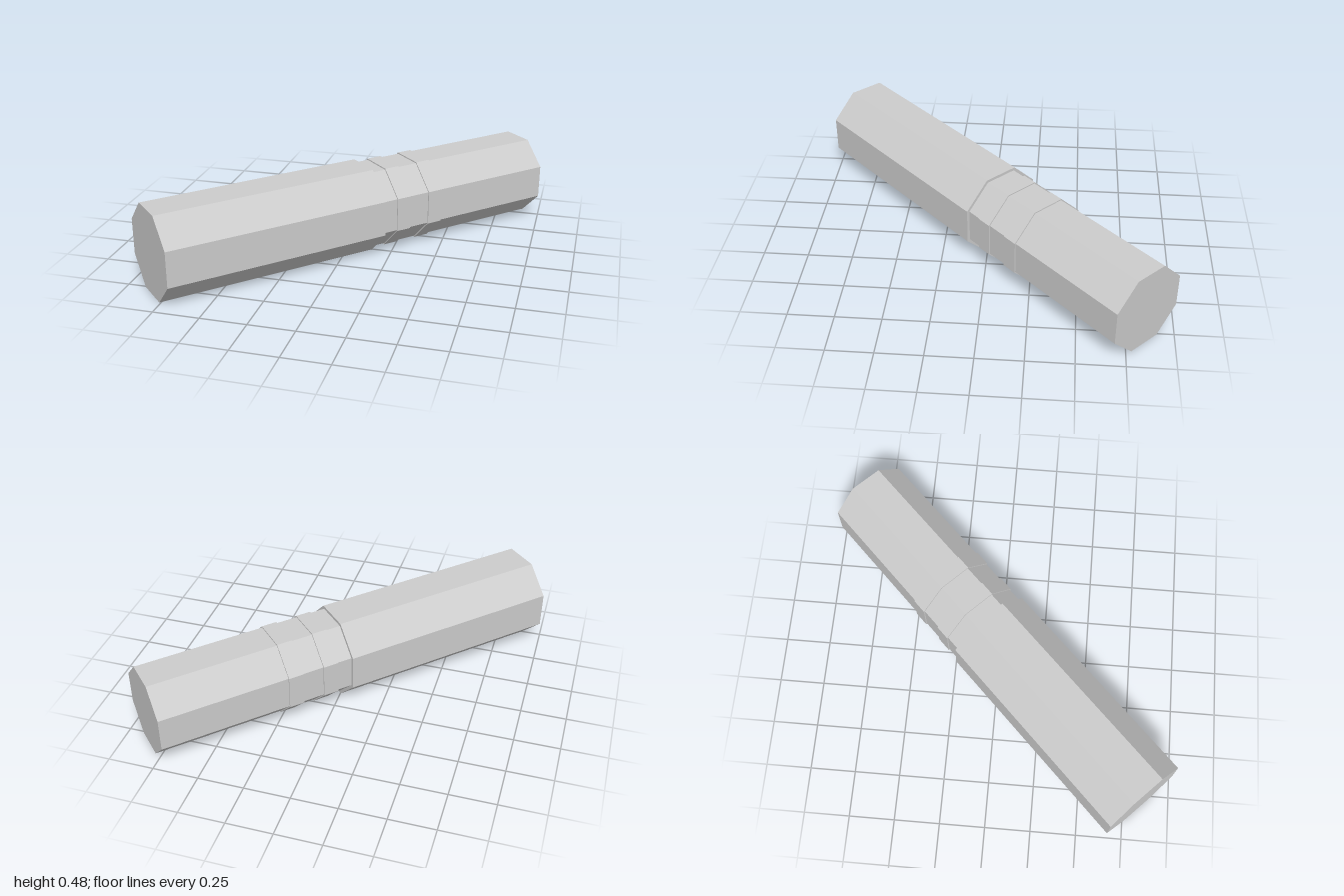
import * as THREE from 'three';

const CENTER_Y = 0.241;

export function createModel() {
  const grey = new THREE.MeshStandardMaterial({ color: 0xcccccc, flatShading: true });
  grey.name = 'light grey';

  const model = new THREE.Group();
  model.name = 'handle';

  // Octagonal prism along z from start to end, with flats on top and sides
  function prism(name, halfWidth, start, end) {
    const radius = halfWidth / Math.cos(Math.PI / 8);
    const geometry = new THREE.CylinderGeometry(radius, radius, end - start, 8);
    geometry.rotateY(Math.PI / 8);
    geometry.rotateX(Math.PI / 2);
    geometry.translate(0, 0, (start + end) / 2);
    const mesh = new THREE.Mesh(geometry, grey);
    mesh.name = name;
    model.add(mesh);
  }

  // Wide grip and the narrower shaft that continues from it
  prism('grip', 0.24, -1.172, 0.096);
  prism('shaft', 0.2235, 0.096, 1.19);

  // Two slightly raised bands just past the grip
  for (const start of [0.18, 0.385]) prism('band', 0.23, start, start + 0.085);

  // Lay the axis diagonally, shaft end towards +x and -z
  model.rotation.y = Math.PI * 0.75;
  model.position.y = CENTER_Y;

  const root = new THREE.Group();
  root.name = 'model';
  root.add(model);
  return root;
}
